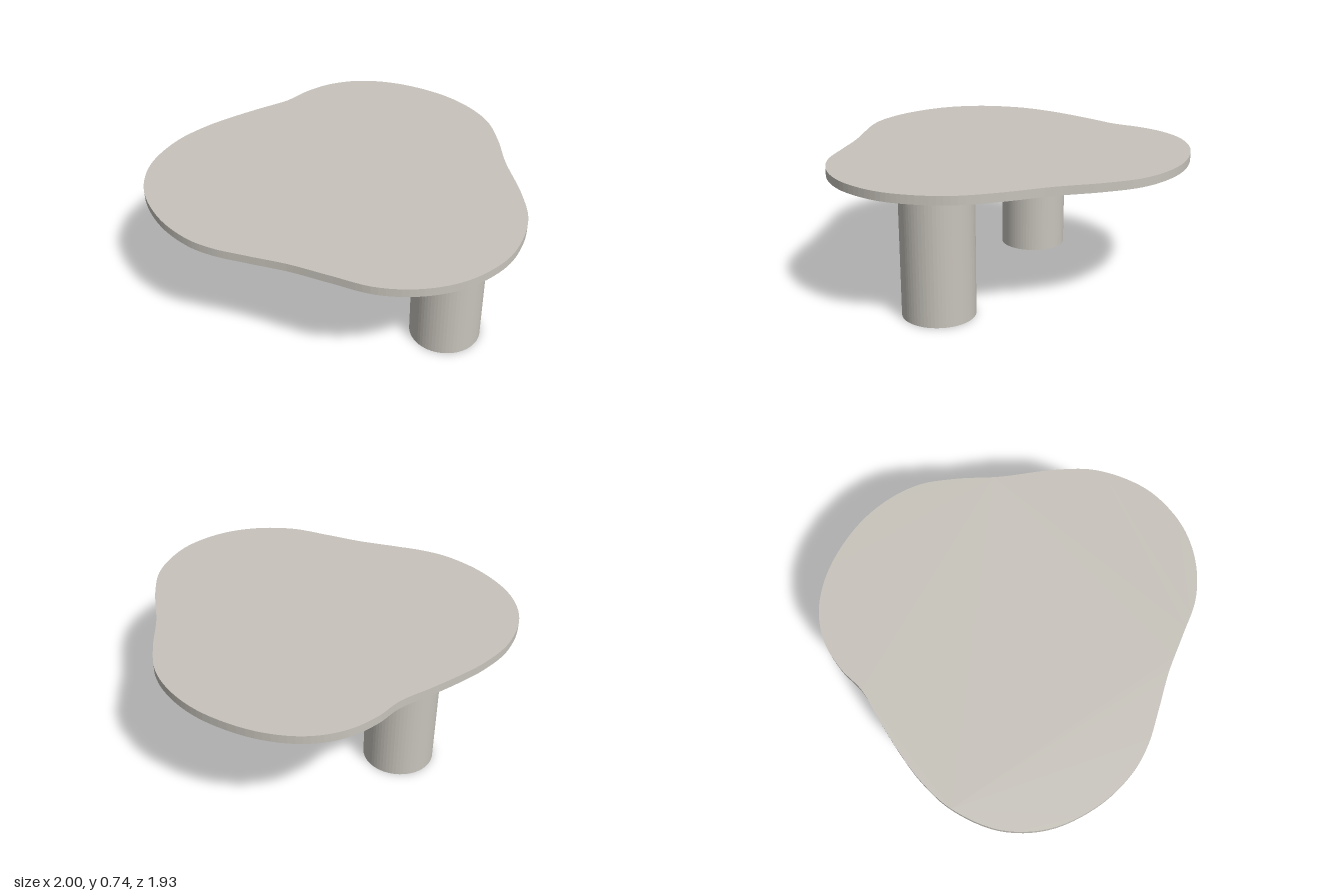
import * as THREE from 'three';

export function createModel() {
  const model = new THREE.Group();
  model.name = 'table';
  const stone = new THREE.MeshStandardMaterial({ color: 0xc8c4bc, flatShading: true });
  stone.name = 'warm grey';

  const topY = 0.735, underY = 0.69;

  // Freeform top outline, as x, z pairs
  const outline = [
    [-0.12, -0.97], [0.1, -0.94], [0.28, -0.86], [0.43, -0.72], [0.58, -0.54],
    [0.79, -0.33], [0.92, -0.16], [0.985, 0.03], [0.995, 0.2], [0.93, 0.42],
    [0.8, 0.59], [0.62, 0.71], [0.4, 0.77], [0.2, 0.82], [0, 0.89],
    [-0.17, 0.945], [-0.32, 0.963], [-0.55, 0.925], [-0.79, 0.8], [-0.94, 0.61],
    [-1, 0.36], [-0.98, 0.15], [-0.935, -0.01], [-0.87, -0.19], [-0.803, -0.36],
    [-0.78, -0.52], [-0.72, -0.68], [-0.6, -0.82], [-0.4, -0.925],
  ].map(([x, z]) => new THREE.Vector3(x, z, 0));
  const curve = new THREE.CatmullRomCurve3(outline, true);
  const points = curve.getPoints(180).slice(0, -1).map((p) => new THREE.Vector2(p.x, p.y));
  const slab = new THREE.ExtrudeGeometry(new THREE.Shape(points), {
    depth: topY - underY, bevelEnabled: false,
  });
  slab.rotateX(Math.PI / 2).translate(0, topY, 0);
  const top = new THREE.Mesh(slab, stone);
  top.name = 'tableTop';
  model.add(top);

  // Two thick round legs
  const legGeometry = new THREE.CylinderGeometry(0.19, 0.19, underY, 64);
  for (const [name, x] of [['rightLeg', -0.575], ['leftLeg', 0.625]]) {
    const leg = new THREE.Mesh(legGeometry, stone);
    leg.name = name;
    leg.position.set(x, underY / 2, 0.07);
    model.add(leg);
  }
  return model;
}
